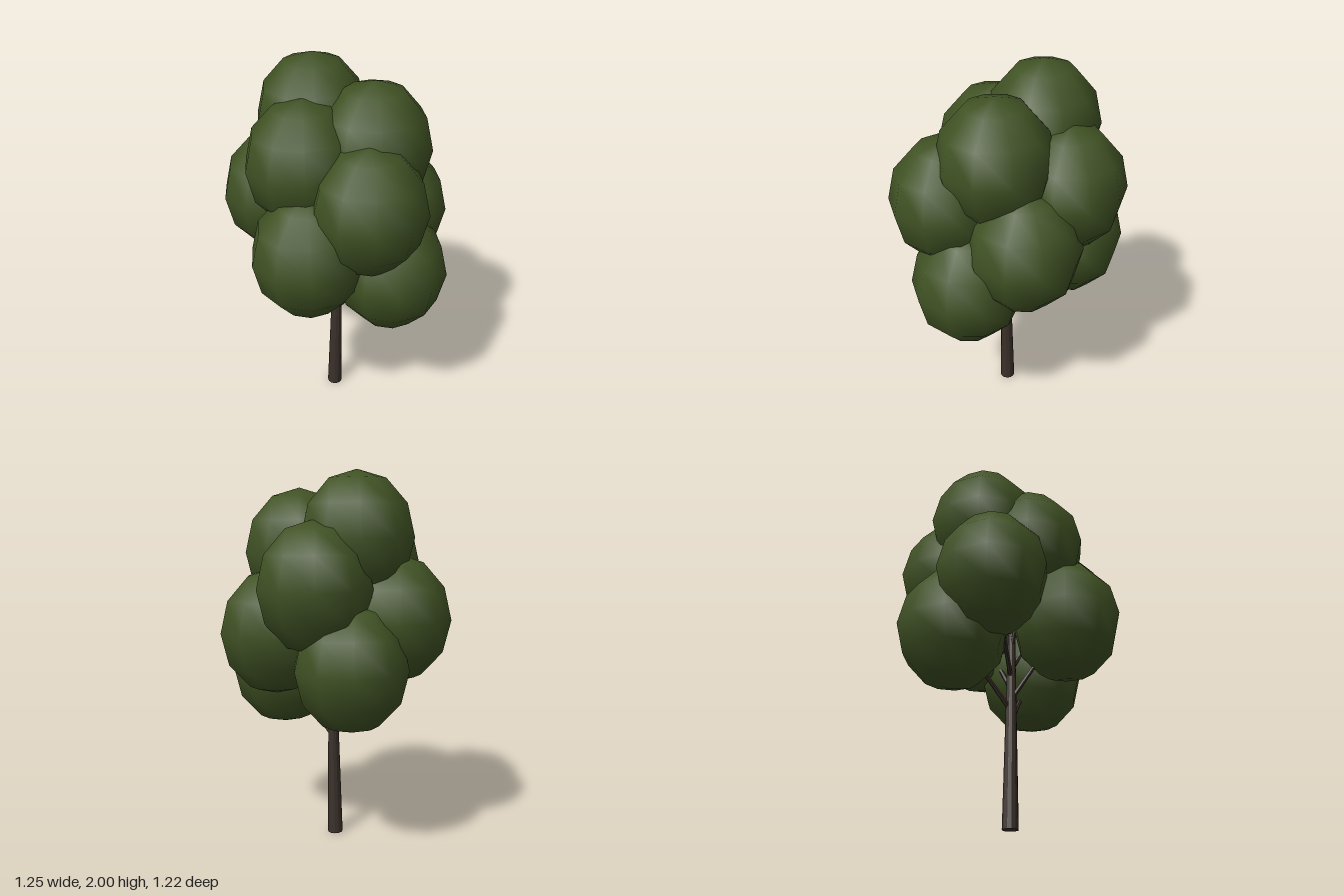
import * as THREE from 'three';

const leafMat = new THREE.MeshStandardMaterial({ color: 0x405224 });
const barkMat = new THREE.MeshStandardMaterial({ color: 0x3a3029 });
barkMat.flatShading = true;

// Leaf clump centres, lowest first, winding up around the trunk
const clumps = [
  [0.335, 0.94, -0.005],
  [-0.25, 1.02, -0.23],
  [0.025, 1.095, 0.31],
  [0.2, 1.175, -0.255],
  [-0.345, 1.25, 0.035],
  [0.285, 1.355, 0.16],
  [-0.09, 1.42, -0.315],
  [-0.1, 1.51, 0.155],
  [0.18, 1.585, -0.065],
  [-0.19, 1.665, -0.085],
];

// Tapered limb between two points
function limb(name, from, to, r0, r1, sides) {
  const dir = to.clone().sub(from);
  const mesh = new THREE.Mesh(new THREE.CylinderGeometry(r1, r0, dir.length(), sides), barkMat);
  mesh.name = name;
  mesh.position.copy(from).addScaledVector(dir, 0.5);
  mesh.quaternion.setFromUnitVectors(new THREE.Vector3(0, 1, 0), dir.normalize());
  return mesh;
}

export function createModel() {
  const tree = new THREE.Group();
  tree.name = 'tree';

  // Slightly leaning trunk
  const base = new THREE.Vector3(-0.006, 0, 0);
  const top = new THREE.Vector3(0.017, 1.15, 0);
  tree.add(limb('trunk', base, top, 0.042, 0.018, 12));

  // One branch into every clump
  clumps.forEach((c, i) => {
    const start = base.clone().lerp(top, (0.56 + i * 0.06) / 1.15);
    tree.add(limb('branch', start, new THREE.Vector3(...c), 0.014, 0.008, 6));
  });

  // Leaf clumps: coarse smooth spheres stretched upward
  const clumpGeo = new THREE.SphereGeometry(0.298, 10, 6);
  clumpGeo.rotateY(Math.PI / 2);
  clumpGeo.scale(1, 1.125, 1);
  for (const c of clumps) {
    const mesh = new THREE.Mesh(clumpGeo, leafMat);
    mesh.name = 'leafClump';
    mesh.position.set(...c);
    tree.add(mesh);
  }
  return tree;
}
